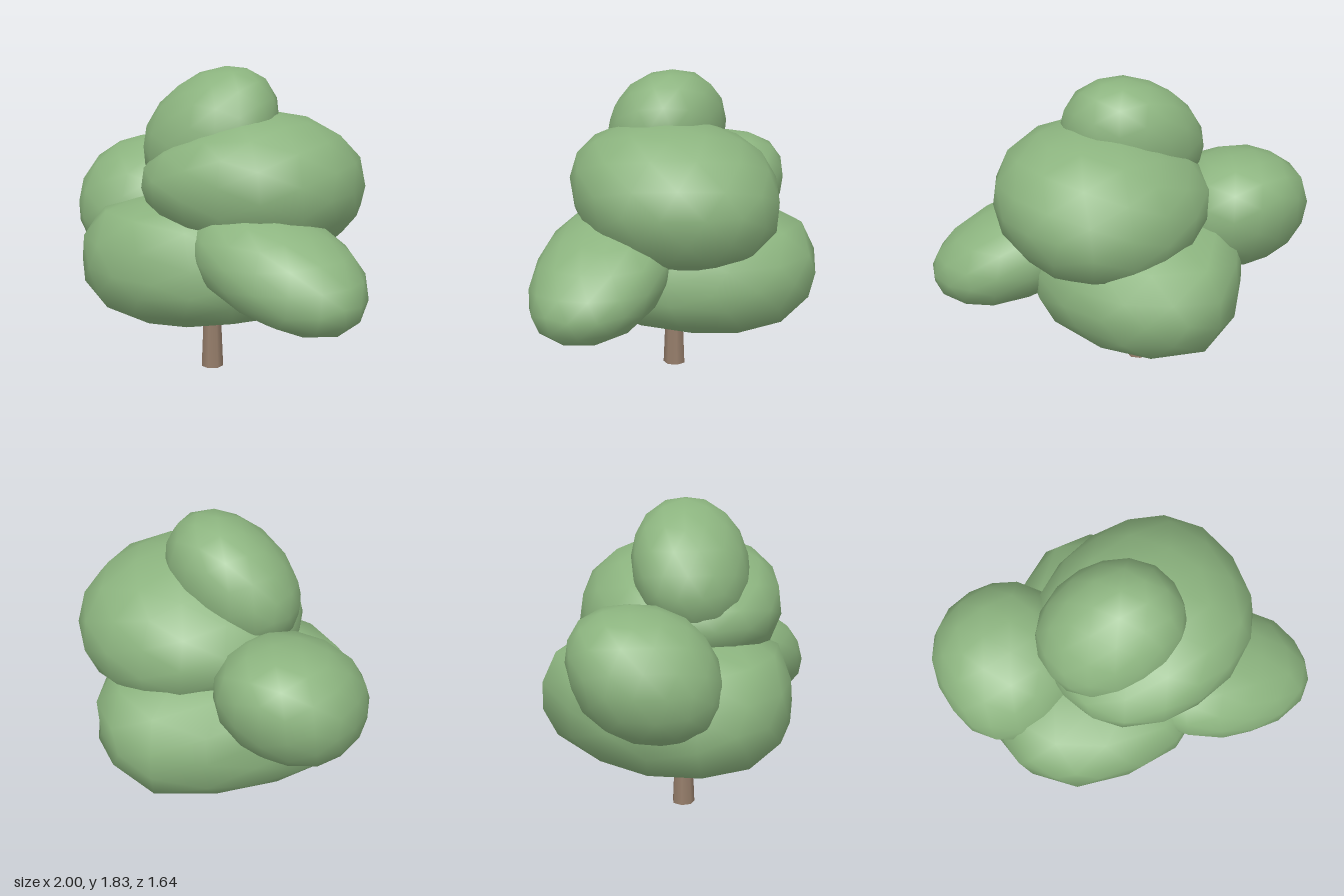
import * as THREE from 'three';
import { mergeVertices } from 'three/addons/utils/BufferGeometryUtils.js';

// Moves every vertex of a geometry by a rule
function reshape(geo, rule) {
  const pos = geo.attributes.position;
  const v = new THREE.Vector3();
  for (let i = 0; i < pos.count; i++) {
    rule(v.fromBufferAttribute(pos, i));
    pos.setXYZ(i, v.x, v.y, v.z);
  }
  return geo;
}

// Unit blob with shared vertices; power 2 is a sphere, higher is boxier
function unitBlob(power) {
  const ico = new THREE.IcosahedronGeometry(1, 2);
  ico.deleteAttribute('uv');
  ico.deleteAttribute('normal');
  return reshape(mergeVertices(ico, 1e-4), (v) => {
    const sum = Math.abs(v.x) ** power + Math.abs(v.y) ** power + Math.abs(v.z) ** power;
    v.multiplyScalar(1.01 / sum ** (1 / power));
  });
}

// Blob that gets lower towards -x by the taper, then stretched and sheared so that it leans:
// x, y-from-x, z-from-x, y, z-from-y, z
function leaningBlob(power, taper, [xx, yx, zx, yy, zy, zz]) {
  return reshape(unitBlob(power), (v) => {
    const y = v.y * (1 + taper * Math.min(0, v.x));
    v.set(xx * v.x, yx * v.x + yy * y, zx * v.x + zy * y + zz * v.z);
  });
}

// Broad lower crown: boxy, narrower and shallower towards one side, turned diagonally
function lowerCrownGeometry() {
  const geo = reshape(unitBlob(3.3), (v) => {
    const side = Math.max(0, v.z);
    if (v.y < 0) v.y *= 1 - 0.28 * side - 0.15 * v.x * v.x;
    else v.y *= 1 - 0.1 * v.x;
    v.x *= 1 - 0.35 * side;
  });
  geo.scale(0.77, 0.385, 0.61);
  geo.rotateY(Math.PI / 4);
  return geo;
}

export function createModel() {
  const tree = new THREE.Group();
  tree.name = 'tree';

  const leaf = new THREE.MeshStandardMaterial({ color: 0x8cb47f });
  leaf.name = 'leaf green';
  const bark = new THREE.MeshStandardMaterial({ color: 0x957d6a });
  bark.name = 'bark brown';

  const add = (name, geo, material, position) => {
    const mesh = new THREE.Mesh(geo, material);
    mesh.name = name;
    mesh.position.set(...position);
    tree.add(mesh);
  };

  // Trunk, reaching up into the crown
  add('trunk', new THREE.CylinderGeometry(0.042, 0.067, 0.6, 7), bark, [-0.07, 0.3, 0]);

  // Crown
  const crown = [
    ['lowerCrown', lowerCrownGeometry(), [-0.04, 0.665, -0.04]],
    ['frontBough', leaningBlob(2.25, 0, [0.53, -0.13, 0.1, 0.285, -0.07, 0.385]), [0.47, 0.78, 0.4]],
    ['sideBough', leaningBlob(2.3, 0, [0.42, 0.02, 0, 0.365, -0.08, 0.42]), [-0.58, 0.965, -0.255]],
    ['upperCrown', leaningBlob(2.25, 0.3, [0.63, 0, -0.03, 0.425, 0.06, 0.59]), [0.19, 1.15, 0]],
    ['topTuft', leaningBlob(2.15, 0.12, [0.41, 0.09, 0.04, 0.37, -0.04, 0.34]), [-0.06, 1.44, 0.045]],
  ];
  for (const [name, geo, position] of crown) {
    geo.computeVertexNormals();
    add(name, geo, leaf, position);
  }

  return tree;
}
